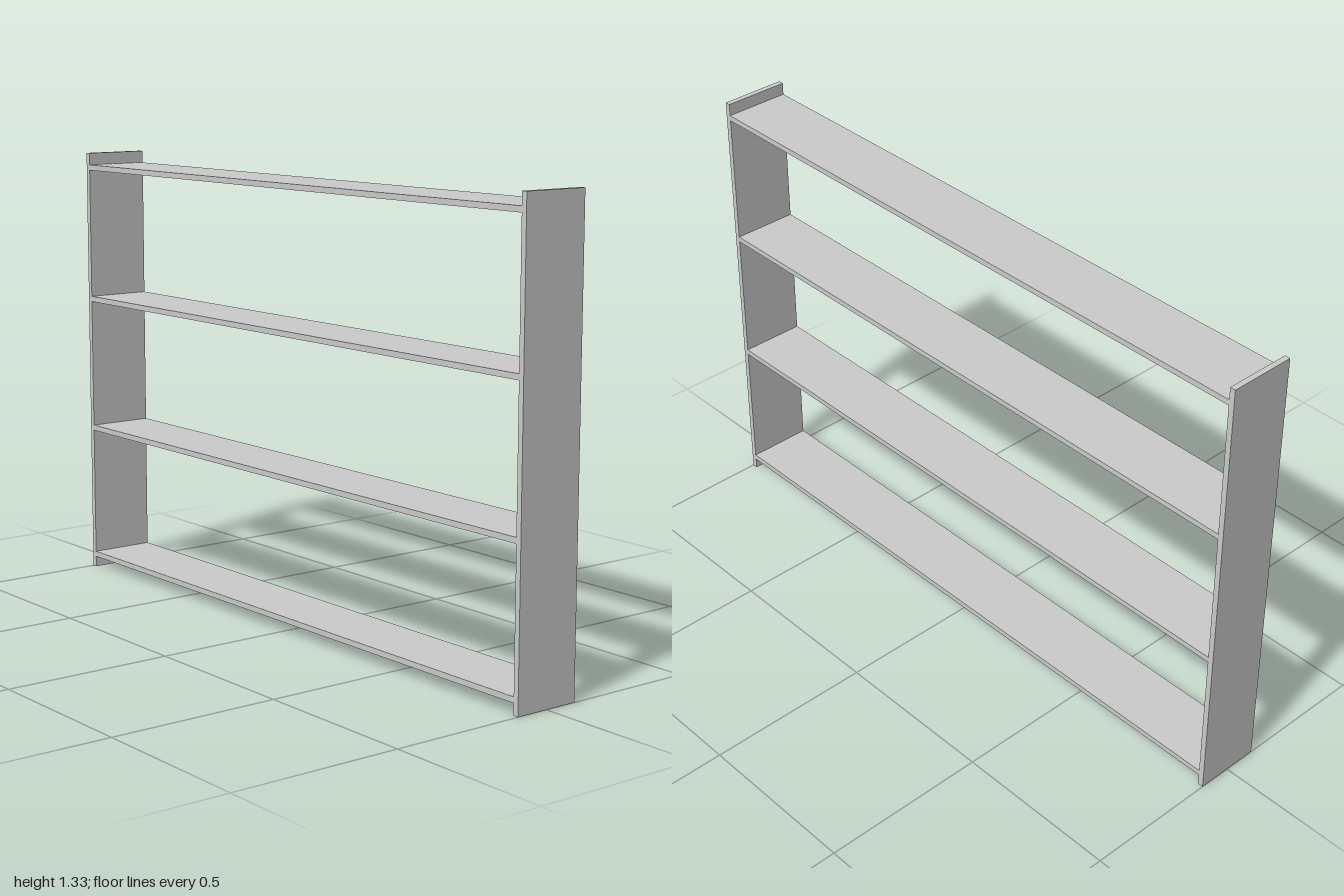
import * as THREE from 'three';

const WIDTH = 2, HEIGHT = 1.333, DEPTH = 0.2, BOARD = 0.0167;

export function createModel() {
  const group = new THREE.Group();
  group.name = 'openShelf';
  const material = new THREE.MeshStandardMaterial({ color: 0xcccccc });

  const addBoard = (name, w, h, x, y) => {
    const mesh = new THREE.Mesh(new THREE.BoxGeometry(w, h, DEPTH), material);
    mesh.name = name;
    mesh.position.set(x, y, 0);
    group.add(mesh);
  };

  // Upright side panels
  for (const side of [1, -1]) {
    addBoard(side > 0 ? 'leftPanel' : 'rightPanel', BOARD, HEIGHT, side * (WIDTH - BOARD) / 2, HEIGHT / 2);
  }

  // Evenly spaced shelves between the panels
  const firstShelf = 0.0415, spacing = 0.4155;
  for (let i = 0; i < 4; i++) {
    addBoard(`shelf${i + 1}`, WIDTH - 2 * BOARD, BOARD, 0, firstShelf + i * spacing);
  }

  return group;
}
